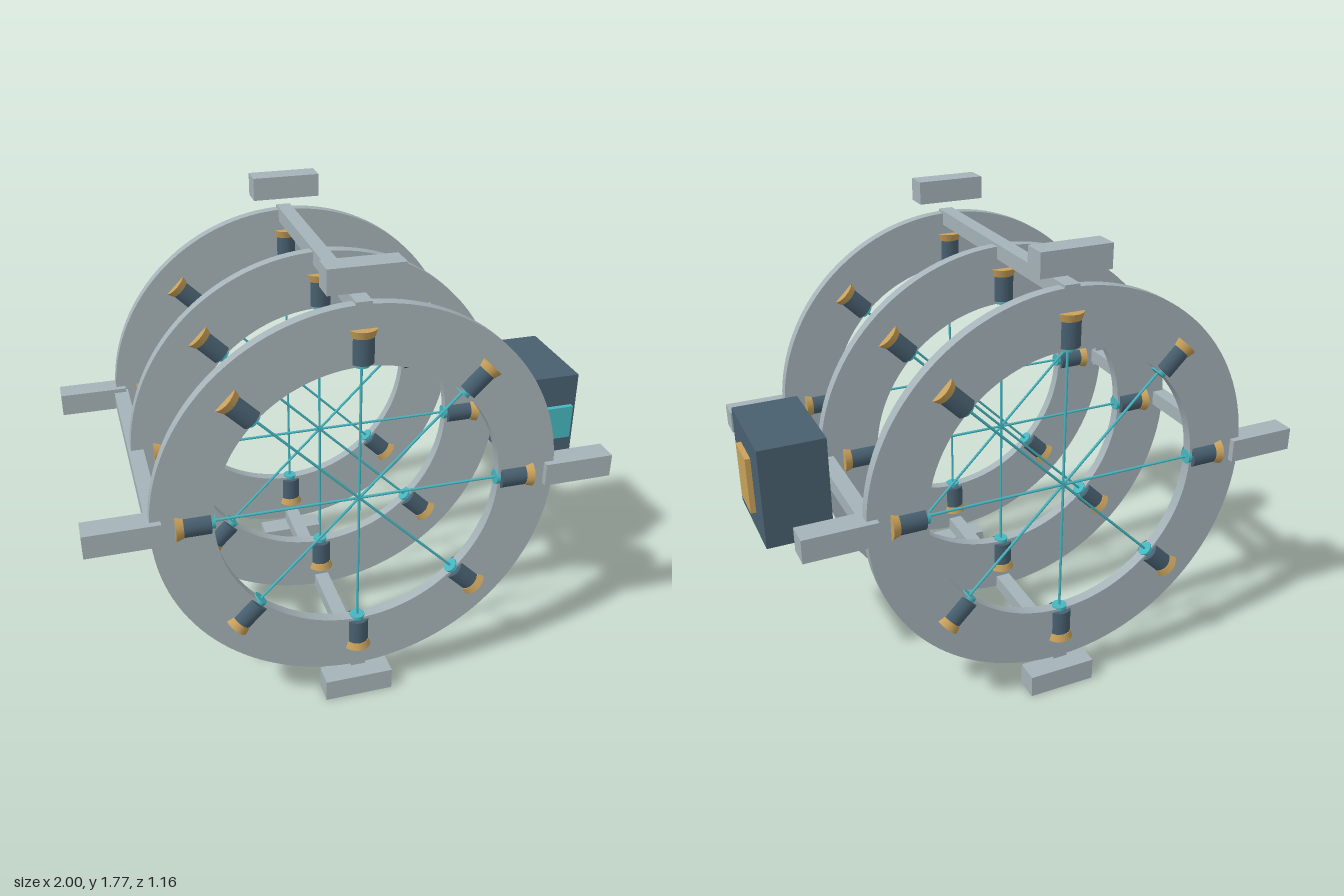
import * as THREE from 'three';
import { toCreasedNormals } from 'three/addons/utils/BufferGeometryUtils.js';

const material = (name, color) => {
  const m = new THREE.MeshStandardMaterial({ color });
  m.name = name;
  return m;
};

export function createModel() {
  const grey = material('pale grey metal', 0xa5b3b8);
  const slate = material('slate blue', 0x486070);
  const gold = material('gold', 0xc9a25b);
  const teal = material('teal', 0x46b6c0);

  const model = new THREE.Group();
  model.name = 'ringFrame';
  // everything but the equipment box is arranged around this axis
  const frame = new THREE.Group();
  frame.name = 'frame';
  frame.position.set(-0.03, 0.883, 0);
  model.add(frame);

  const add = (parent, name, geometry, mat, x = 0, y = 0, z = 0) => {
    const mesh = new THREE.Mesh(geometry, mat);
    mesh.name = name;
    mesh.position.set(x, y, z);
    parent.add(mesh);
    return mesh;
  };

  // flat ring with a square section
  const thickness = 0.042;
  const outline = new THREE.Shape().absarc(0, 0, 0.744, 0, Math.PI * 2);
  outline.holes.push(new THREE.Path().absarc(0, 0, 0.525, 0, Math.PI * 2, true));
  const ringGeo = toCreasedNormals(
    new THREE.ExtrudeGeometry(outline, { depth: thickness, bevelEnabled: false, curveSegments: 64 })
      .translate(0, 0, -thickness / 2), 0.5);

  // parts of one emitter, all pointing out along +y
  const bodyGeo = new THREE.CylinderGeometry(0.044, 0.044, 0.097, 20);
  const capGeo = new THREE.CylinderGeometry(0.054, 0.046, 0.028, 20);
  const lensGeo = new THREE.CylinderGeometry(0.028, 0.028, 0.014, 20);
  const beamGeo = new THREE.CylinderGeometry(0.005, 0.005, 0.525, 8);

  const ringZ = [-0.524, 0, 0.524];
  for (const z of ringZ) {
    const station = new THREE.Group();
    station.name = 'ringStation';
    station.position.z = z;
    frame.add(station);
    add(station, 'ring', ringGeo, grey);
    for (let i = 0; i < 8; i++) {
      const emitter = new THREE.Group();
      emitter.name = 'emitter';
      emitter.rotation.z = i * Math.PI / 4;
      station.add(emitter);
      add(emitter, 'emitterBody', bodyGeo, slate, 0, 0.5835);
      add(emitter, 'emitterCap', capGeo, gold, 0, 0.645);
      add(emitter, 'emitterLens', lensGeo, teal, 0, 0.526);
      add(emitter, 'spoke', beamGeo, teal, 0, 0.2625);
    }
  }

  // four long rails and eight blocks standing off the end rings
  const railGeo = new THREE.BoxGeometry(0.057, 0.057, 1.09);
  const blockGeo = new THREE.BoxGeometry(0.265, 0.088, 0.09);
  for (let i = 0; i < 4; i++) {
    const x = Math.round(Math.cos(i * Math.PI / 2));
    const y = Math.round(Math.sin(i * Math.PI / 2));
    add(frame, 'rail', railGeo, grey, x * 0.725, y * 0.725, 0);
    for (const z of [ringZ[0], ringZ[2]]) {
      add(frame, 'outerBlock', blockGeo, grey, x * 0.8375, y * 0.839, z);
    }
  }

  // equipment box with its front screen and side panel
  const box = new THREE.Group();
  box.name = 'equipmentBox';
  box.position.set(0.856, 0.884, 0);
  model.add(box);
  add(box, 'boxBody', new THREE.BoxGeometry(0.248, 0.39, 0.39), slate);
  add(box, 'screen', new THREE.BoxGeometry(0.197, 0.138, 0.02), teal, 0, 0.003, 0.216);
  add(box, 'sidePanel', new THREE.BoxGeometry(0.02, 0.22, 0.146), gold, 0.134, 0, 0);

  return model;
}
